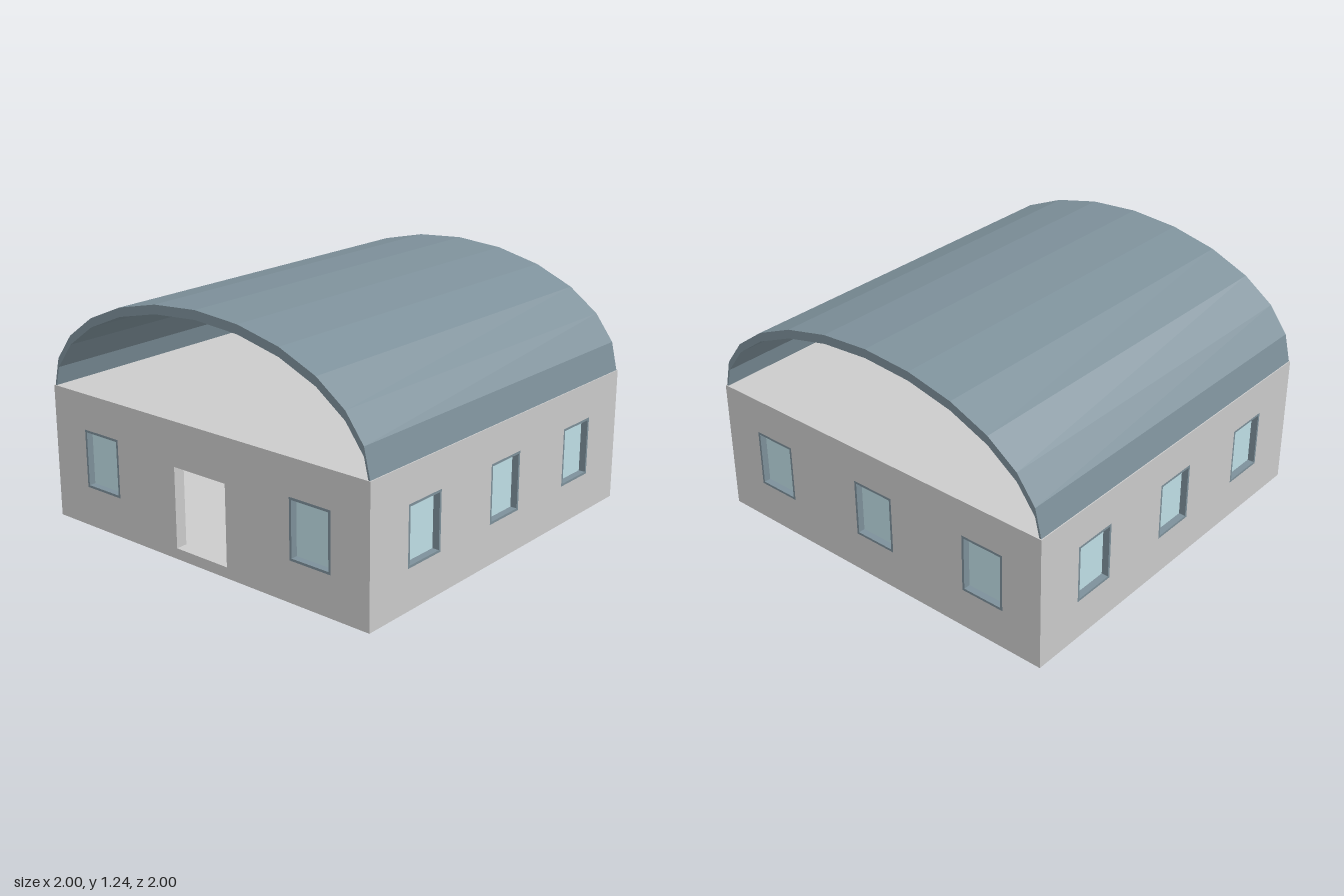
import * as THREE from 'three';

const HEIGHT = 0.69, HALF = 1, WALL = 0.06, SLAB = 0.055;
const WINDOW = { w: 0.235, y0: 0.205, y1: 0.505, rim: 0.012 };

const plaster = new THREE.MeshStandardMaterial({ color: 0xcccccc });
const slate = new THREE.MeshStandardMaterial({ color: 0x7d909a });
const glass = new THREE.MeshStandardMaterial({ color: 0xc0dfe6 });

function addMesh(parent, name, geometry, material) {
  const mesh = new THREE.Mesh(geometry, material);
  mesh.name = name;
  parent.add(mesh);
  return mesh;
}

function rect(Type, x0, y0, x1, y1) {
  return new Type([[x0, y0], [x1, y0], [x1, y1], [x0, y1]].map(([x, y]) => new THREE.Vector2(x, y)));
}

function extrude(shape, depth) {
  return new THREE.ExtrudeGeometry(shape, { depth, bevelEnabled: false });
}

// Frame running through the wall, with a recessed pane
function createWindow(x) {
  const group = new THREE.Group();
  group.name = 'window';
  const { w, y0, y1, rim } = WINDOW;
  const shape = rect(THREE.Shape, -w / 2, y0, w / 2, y1);
  shape.holes.push(rect(THREE.Path, -w / 2 + rim, y0 + rim, w / 2 - rim, y1 - rim));
  addMesh(group, 'windowFrame', extrude(shape, WALL), slate).position.z = -WALL;
  const pane = new THREE.BoxGeometry(w - 2 * rim, y1 - y0 - 2 * rim, 0.01);
  addMesh(group, 'windowPane', pane, glass).position.set(0, (y0 + y1) / 2, -0.04);
  group.position.x = x;
  return group;
}

// Wall with its outer face on local z = 0
function createWall(name, length, windows, hasDoor) {
  const group = new THREE.Group();
  group.name = name;
  const shape = rect(THREE.Shape, -length / 2, 0, length / 2, HEIGHT);
  for (const x of windows) {
    shape.holes.push(rect(THREE.Path, x - WINDOW.w / 2, WINDOW.y0, x + WINDOW.w / 2, WINDOW.y1));
    group.add(createWindow(x));
  }
  if (hasDoor) shape.holes.push(rect(THREE.Path, -0.163, SLAB, 0.163, 0.465));
  addMesh(group, name + 'Panel', extrude(shape, WALL), plaster).position.z = -WALL;
  return group;
}

// Faceted vault, thinning to an edge where it meets the walls
function createRoof() {
  const rx = 0.995, ry = 0.55, drop = 0.045, steps = 12;
  const outer = [], inner = [];
  for (let i = 0; i <= steps; i++) {
    const a = (i / steps) * Math.PI;
    const x = rx * Math.cos(a), y = HEIGHT + ry * Math.sin(a);
    outer.push(new THREE.Vector2(x, y));
    const end = i === 0 || i === steps;
    inner.unshift(new THREE.Vector2(end ? Math.sign(x) * 0.985 : x, end ? HEIGHT : y - drop));
  }
  const geometry = extrude(new THREE.Shape([...outer, ...inner]), 1.99);
  geometry.translate(0, 0, -0.995);
  return geometry;
}

export function createModel() {
  const model = new THREE.Group();
  model.name = 'vaultedBuilding';

  // Walls: front with doorway, back and two sides
  const front = createWall('frontWall', 2 * HALF, [-0.667, 0.667], true);
  front.position.z = HALF;
  const back = createWall('backWall', 2 * HALF, [-0.667, 0, 0.667], false);
  back.position.z = -HALF;
  back.rotation.y = Math.PI;
  model.add(front, back);
  for (const side of [1, -1]) {
    const wall = createWall(side > 0 ? 'leftWall' : 'rightWall', 2 * (HALF - WALL), [-0.62, 0, 0.62], false);
    wall.position.x = side * HALF;
    wall.rotation.y = side * Math.PI / 2;
    model.add(wall);
  }

  // Floor and ceiling slabs between the walls
  const inside = 2 * (HALF - WALL);
  const slab = new THREE.BoxGeometry(inside, SLAB, inside);
  addMesh(model, 'floor', slab, plaster).position.y = SLAB / 2;
  addMesh(model, 'ceiling', slab, plaster).position.y = HEIGHT - SLAB / 2;

  addMesh(model, 'roof', createRoof(), slate);
  return model;
}
